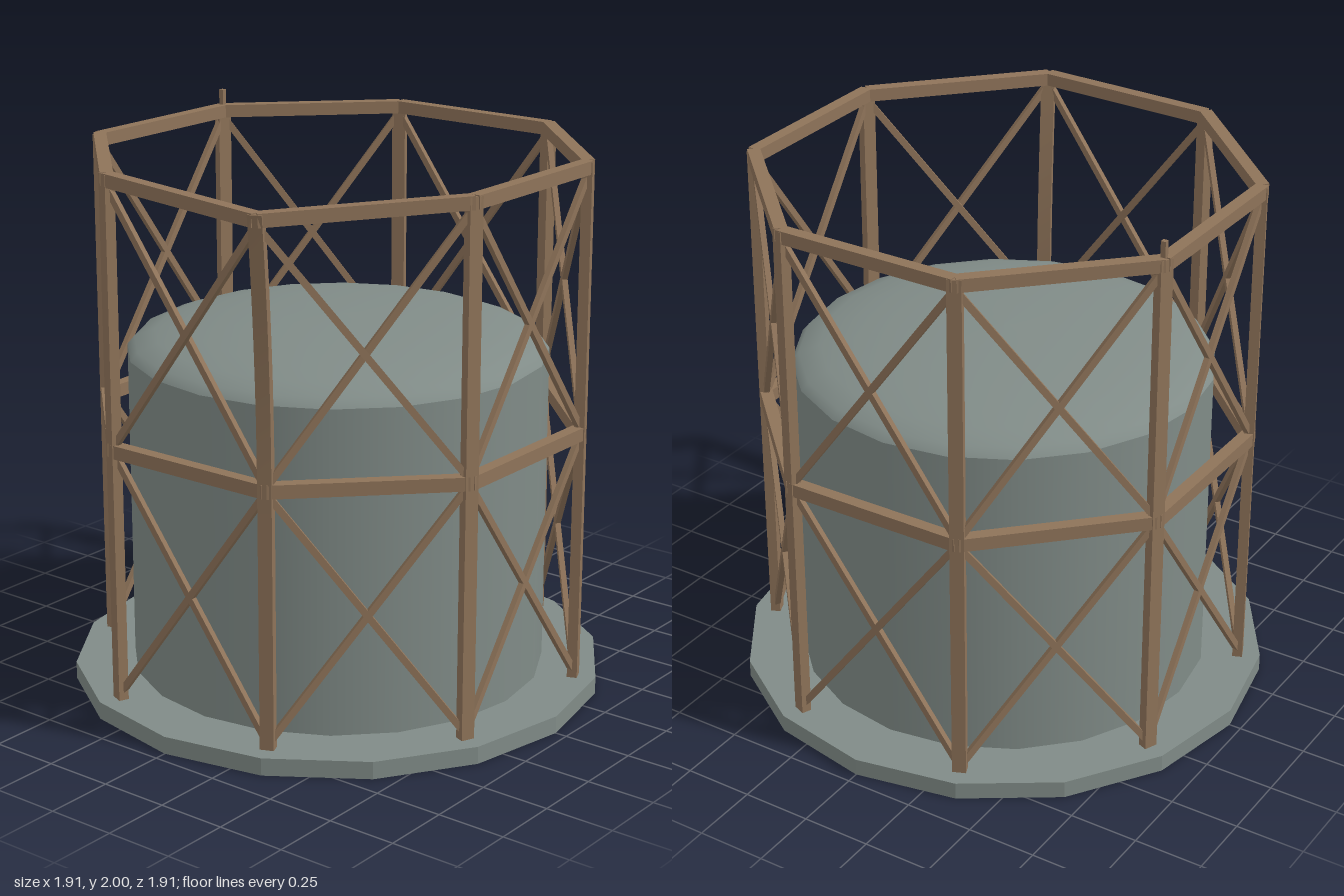
import * as THREE from 'three';

const material = (name, color) => {
  const m = new THREE.MeshStandardMaterial({ color });
  m.name = name;
  return m;
};

export function createModel() {
  const model = new THREE.Group();
  model.name = 'storageTank';
  const steel = material('weathered steel', 0x808b87);
  const rust = material('rusty brown', 0x8e7359);

  const add = (name, geometry, mat, parent = model) => {
    const mesh = new THREE.Mesh(geometry, mat);
    mesh.name = name;
    parent.add(mesh);
    return mesh;
  };

  // Sixteen-sided foundation slab
  const slab = new THREE.CylinderGeometry(0.957, 0.957, 0.063, 16).toNonIndexed();
  slab.computeVertexNormals();
  add('foundation', slab, steel).position.y = 0.0315;

  // Tank wall, with a shallow dent beside the buckled post
  const rows = [0.06, 0.35, 0.64, 0.93, 1.225];
  const wall = new THREE.LatheGeometry(rows.map(y => new THREE.Vector2(0.747, y)), 20);
  const wp = wall.attributes.position;
  const dentAngle = Math.atan2(0.3, -0.95);
  for (let i = 0; i < wp.count; i++) {
    const x = wp.getX(i), y = wp.getY(i), z = wp.getZ(i);
    const turn = Math.acos(Math.cos(Math.atan2(z, x) - dentAngle));
    const k = 1 - 0.025 * Math.exp(-turn * turn * 4) * Math.exp(-(((y - 0.65) / 0.25) ** 2));
    wp.setX(i, x * k);
    wp.setZ(i, z * k);
  }
  add('tankWall', wall, steel);

  // Low domed roof
  const domeProfile = [];
  for (let i = 0; i <= 6; i++) {
    const t = (i / 6) * Math.PI / 2;
    domeProfile.push(new THREE.Vector2(i === 6 ? 0 : 0.747 * Math.cos(t), 1.225 + 0.12 * Math.sin(t)));
  }
  add('tankRoof', new THREE.LatheGeometry(domeProfile, 20), steel);

  // Guide frame: eight posts, one of them buckled outwards at the top
  const frame = new THREE.Group();
  frame.name = 'guideFrame';
  model.add(frame);
  const R = 0.875, BENT = 3, MID = 0.98, TOP = 1.921;
  const lean = y => Math.max(0, (y - MID) / (TOP - MID)) ** 2;
  const angle = i => Math.PI / 8 + i * Math.PI / 4;

  // Centre of a post at a given height (index counts from +x towards +z)
  const postPoint = (index, y) => {
    const i = index % 8, k = i === BENT ? lean(y) : 0;
    const r = R + 0.076 * k;
    return new THREE.Vector3(r * Math.cos(angle(i)), y - 0.022 * k, r * Math.sin(angle(i)));
  };

  const beam = (name, a, b, width, height) => {
    const mesh = add(name, new THREE.BoxGeometry(width, height, a.distanceTo(b)), rust, frame);
    mesh.position.copy(a).add(b).multiplyScalar(0.5);
    mesh.lookAt(b);
  };

  for (let i = 0; i < 8; i++) {
    const bottom = 0.06, top = 1.94;
    const geo = new THREE.BoxGeometry(0.036, top - bottom, 0.049, 1, i === BENT ? 16 : 1, 1);
    geo.translate(0, (top + bottom) / 2, 0);
    if (i === BENT) {
      const p = geo.attributes.position;
      for (let v = 0; v < p.count; v++) {
        const k = lean(p.getY(v));
        p.setX(v, p.getX(v) + 0.076 * k);
        p.setY(v, p.getY(v) - 0.022 * k);
      }
      geo.computeVertexNormals();
    }
    const post = add(i === BENT ? 'buckledPost' : 'post', geo, rust, frame);
    post.position.set(R * Math.cos(angle(i)), 0, R * Math.sin(angle(i)));
    post.rotation.y = -angle(i);

    // Ring girders
    beam('middleGirder', postPoint(i, MID), postPoint(i + 1, MID), 0.045, 0.048);
    beam('topGirder', postPoint(i, TOP), postPoint(i + 1, TOP), 0.045, 0.046);

    // Crossed braces in both tiers
    for (const [low, high] of [[0.08, 0.97], [0.99, 1.9]]) {
      beam('brace', postPoint(i, low), postPoint(i + 1, high), 0.02, 0.024);
      beam('brace', postPoint(i + 1, low), postPoint(i, high), 0.02, 0.024);
    }
  }

  // Short rod on top of one rear post
  const tip = postPoint(6, 1.96);
  add('topRod', new THREE.BoxGeometry(0.018, 0.08, 0.018), rust, frame).position.copy(tip);

  return model;
}
